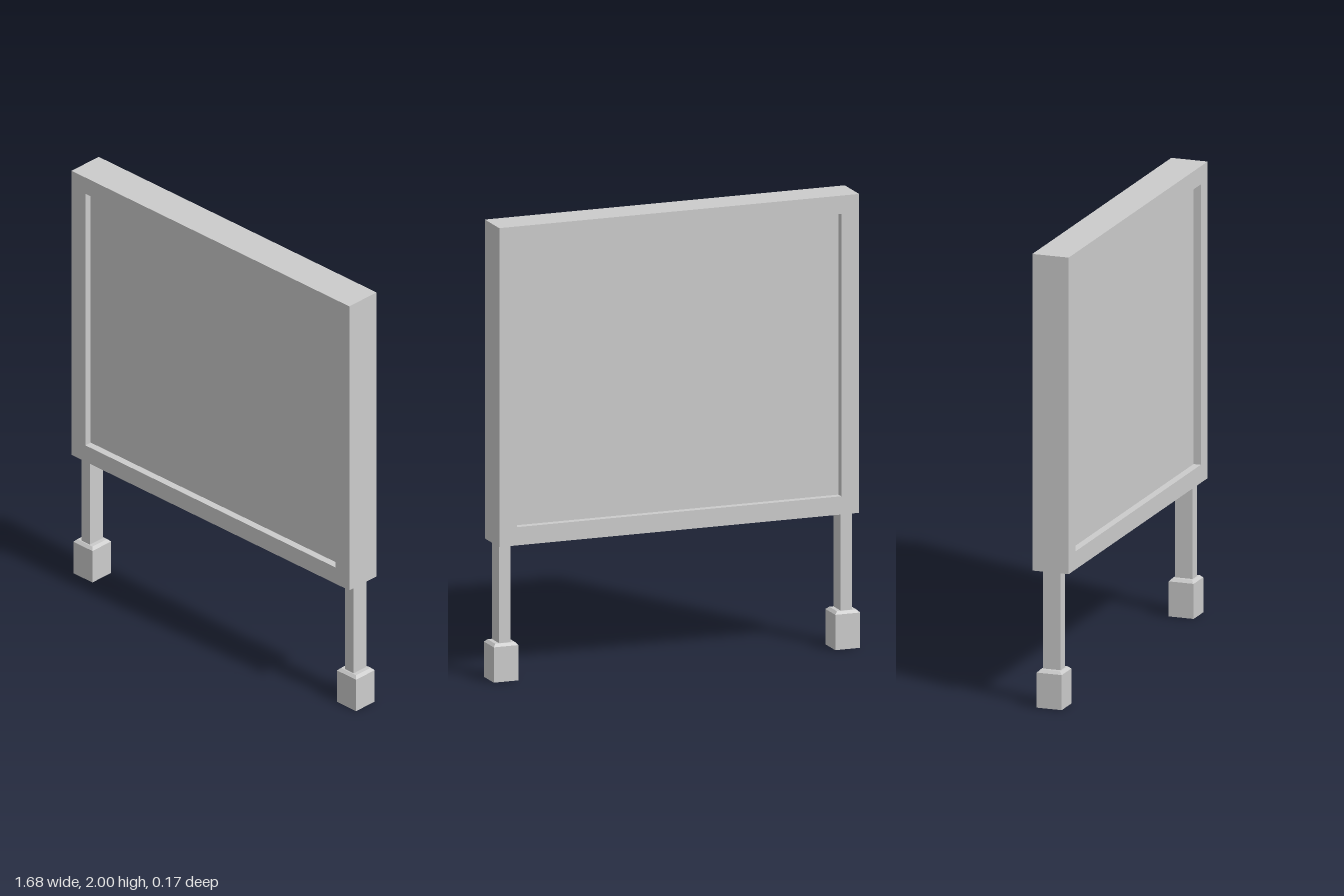
import * as THREE from 'three';

const material = new THREE.MeshStandardMaterial({ color: 0xcccccc, flatShading: true });

function addMesh(parent, name, geometry, x, y, z) {
  const mesh = new THREE.Mesh(geometry, material);
  mesh.name = name;
  mesh.position.set(x, y, z);
  parent.add(mesh);
  return mesh;
}

// Corner points of an upright rectangle centred on x = 0
function rectangle(halfWidth, bottom, top) {
  return [[-halfWidth, bottom], [halfWidth, bottom], [halfWidth, top], [-halfWidth, top]]
    .map(([x, y]) => new THREE.Vector2(x, y));
}

// Block with a small chamfer around its top edge
function footGeometry(width, height, chamfer) {
  const geometry = new THREE.BoxGeometry(width, height, width, 1, 2, 1);
  geometry.translate(0, height / 2, 0);
  const p = geometry.attributes.position;
  const scale = 1 - (2 * chamfer) / width;
  for (let i = 0; i < p.count; i++) {
    const y = p.getY(i);
    if (y > height * 0.75) p.setXYZ(i, p.getX(i) * scale, y, p.getZ(i) * scale);
    else if (y > height * 0.25) p.setY(i, height - chamfer);
  }
  const flat = geometry.toNonIndexed();
  flat.computeVertexNormals();
  return flat;
}

export function createModel() {
  const model = new THREE.Group();
  model.name = 'standingBoard';

  // Deep rectangular frame with an opening
  const depth = 0.166;
  const outline = new THREE.Shape(rectangle(0.826, 0.6, 2));
  outline.holes.push(new THREE.Path(rectangle(0.744, 0.68, 1.92).reverse()));
  const frame = new THREE.ExtrudeGeometry(outline, { depth, bevelEnabled: false });
  addMesh(model, 'frame', frame, 0, 0, -depth / 2);

  // Board recessed on both faces
  addMesh(model, 'panel', new THREE.BoxGeometry(1.488, 1.24, 0.1), 0, 1.3, 0);

  // Legs and chamfered feet, mirrored
  for (const side of [-1, 1]) {
    const prefix = side > 0 ? 'left' : 'right';
    const x = side * 0.784;
    addMesh(model, prefix + 'Leg', new THREE.BoxGeometry(0.052, 0.44, 0.08), x, 0.38, 0);
    addMesh(model, prefix + 'Foot', footGeometry(0.114, 0.167, 0.012), x, 0, 0);
  }
  return model;
}
